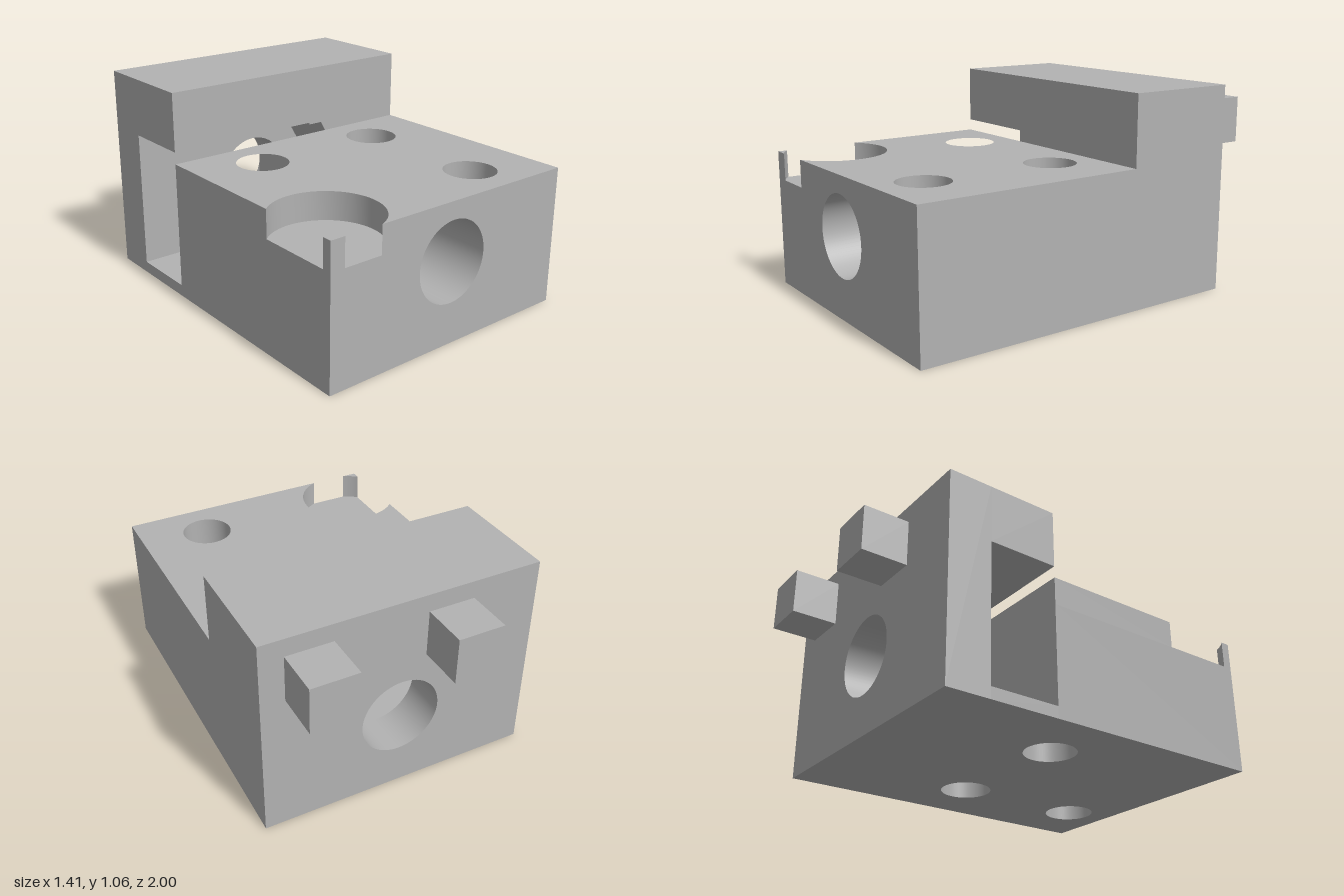
import * as THREE from 'three';
import { toCreasedNormals } from 'three/addons/utils/BufferGeometryUtils.js';

const W = 0.705, FRONT = 1, STEP = -0.18, POCKET = -0.54, BACK = -0.765;
const DECK = 0.705, TOP = 1.06, RECESS = 0.565;
const BORE_Y = 0.412, BORE_R = 0.203, STRIP = 0.21, HOLE_R = 0.13;

const polygon = (points) => new THREE.Shape(points.map(([x, y]) => new THREE.Vector2(x, y)));
const rect = (x0, y0, x1, y1) => polygon([[x0, y0], [x1, y0], [x1, y1], [x0, y1]]);

function withHole(shape, x, y, r) {
  shape.holes.push(new THREE.Path().absarc(x, y, r, 0, Math.PI * 2, true));
  return shape;
}

export function createModel() {
  const group = new THREE.Group();
  const grey = new THREE.MeshStandardMaterial({ color: 0xb2b2b2 });
  grey.name = 'grey';

  function add(name, geometry) {
    const mesh = new THREE.Mesh(geometry, grey);
    mesh.name = name;
    group.add(mesh);
    return mesh;
  }
  const extrude = (shape, depth) =>
    new THREE.ExtrudeGeometry(shape, { depth, bevelEnabled: false, curveSegments: 32 });

  // Front-facing outline pushed from z0 to z1
  const alongZ = (name, shape, z0, z1) =>
    add(name, toCreasedNormals(extrude(shape, z1 - z0).translate(0, 0, z0), 0.5));
  // Plan outline (x, -z) raised from y0 to y1
  const alongY = (name, shape, y0, y1) =>
    add(name, toCreasedNormals(extrude(shape, y1 - y0).rotateX(-Math.PI / 2).translate(0, y0, 0), 0.5));

  // Central strip of the base, with the horizontal bore
  alongZ('boreStrip', withHole(rect(-STRIP, 0, STRIP, DECK), 0, BORE_Y, BORE_R), STEP, FRONT);

  // Base side with two bolt holes
  const twoHoles = withHole(rect(STRIP, -FRONT, W, -STEP), 0.35, -0.055, HOLE_R);
  alongY('leftBase', withHole(twoHoles, 0.35, -0.76, HOLE_R), 0, DECK);

  // Base side with one bolt hole, below the corner recess
  alongY('rightBase', withHole(rect(-W, -FRONT, -STRIP, -STEP), -0.355, -0.055, HOLE_R), 0, RECESS);

  // Deck layer around the round corner recess
  const cx = -0.53, cy = -0.76, r = 0.26;
  const dx = W + cx, dy = FRONT + cy;
  const hx = Math.sqrt(r * r - dy * dy), hy = Math.sqrt(r * r - dx * dx);
  const deck = new THREE.Shape();
  deck.moveTo(-W, -STEP);
  deck.lineTo(-STRIP, -STEP);
  deck.lineTo(-STRIP, -FRONT);
  deck.lineTo(cx + hx, -FRONT);
  deck.absarc(cx, cy, r, Math.atan2(-dy, hx), Math.atan2(hy, -dx), false);
  alongY('rightDeck', withHole(deck, -0.355, -0.055, HOLE_R), RECESS, DECK);

  // Thin corner left standing outside the recess
  const sliver = new THREE.Shape();
  sliver.moveTo(-W, -FRONT);
  sliver.lineTo(cx - hx, -FRONT);
  sliver.absarc(cx, cy, r, Math.atan2(-dy, -hx), Math.atan2(-hy, -dx), true);
  alongY('cornerSliver', sliver, RECESS, DECK);

  // Rear block layer with a hexagonal nut pocket opening to one side
  const apothem = 0.343, slot = 0.353, half = apothem / Math.sqrt(3), slotEnd = 0.12;
  alongZ('nutPocket', polygon([
    [-W, 0], [W, 0], [W, TOP], [-W, TOP],
    [-W, BORE_Y + slot], [slotEnd, BORE_Y + slot], [slotEnd, BORE_Y + apothem],
    [half, BORE_Y + apothem], [2 * half, BORE_Y], [half, BORE_Y - apothem],
    [slotEnd, BORE_Y - apothem], [slotEnd, BORE_Y - slot], [-W, BORE_Y - slot],
  ]), POCKET, STEP);

  // Back wall with the bore
  alongZ('backWall', withHole(rect(-W, 0, W, TOP), 0, BORE_Y, BORE_R), BACK, POCKET);

  // Two square pegs on the back
  for (const [name, x] of [['rightPeg', -0.237], ['leftPeg', 0.468]]) {
    add(name, new THREE.BoxGeometry(0.235, 0.235, 0.235)).position.set(x, 0.852, -0.8825);
  }
  return group;
}
